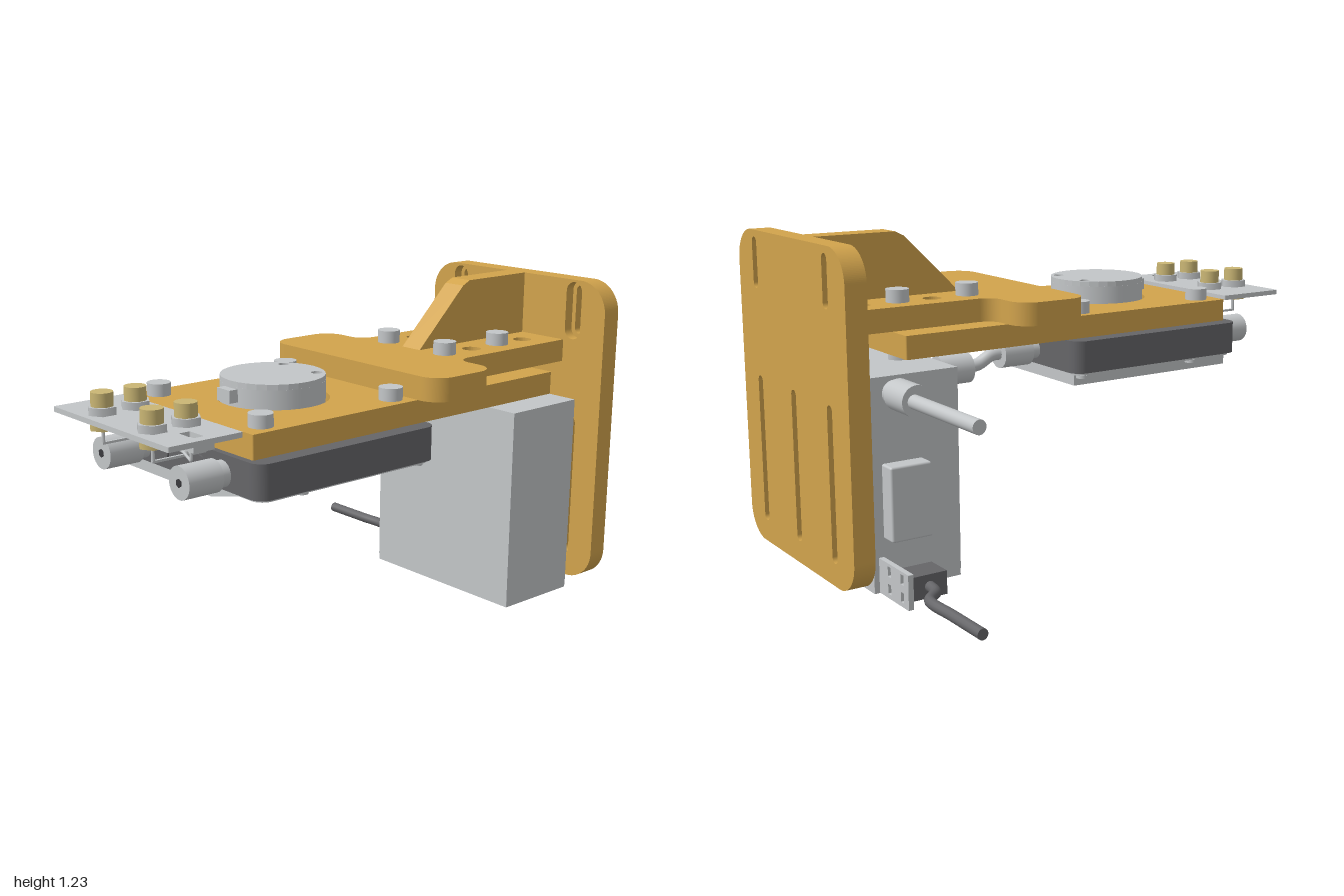
import * as THREE from 'three';
import { RoundedBoxGeometry } from 'three/addons/geometries/RoundedBoxGeometry.js';

const mat = (name, color) => {
  const m = new THREE.MeshStandardMaterial({ color });
  m.name = name;
  return m;
};

export function createModel() {
  const root = new THREE.Group();
  root.name = 'mountedSensorAssembly';
  const gold = mat('gold', 0xd1a34c), grey = mat('grey', 0xc3c6c8), dark = mat('darkGrey', 0x656568);
  const brass = mat('brass', 0xcab674), green = mat('boardGreen', 0x28704a), black = mat('socketBlack', 0x3a3a3d);
  const CX = 0.245;

  const add = (name, geo, m, x = 0, y = 0, z = 0) => {
    const mesh = new THREE.Mesh(geo, m);
    mesh.name = name;
    mesh.position.set(x, y, z);
    root.add(mesh);
    return mesh;
  };
  // box given by its limits on each axis
  const box = (name, m, x0, x1, y0, y1, z0, z1) =>
    add(name, new THREE.BoxGeometry(x1 - x0, y1 - y0, z1 - z0), m, (x0 + x1) / 2, (y0 + y1) / 2, (z0 + z1) / 2);
  // cylinder along one axis, from a to b
  const cyl = (name, m, axis, r, a, b, u, v, sides = 32) => {
    const g = new THREE.CylinderGeometry(r, r, b - a, sides), c = (a + b) / 2;
    if (axis === 'x') { g.rotateZ(Math.PI / 2); return add(name, g, m, c, u, v); }
    if (axis === 'z') { g.rotateX(Math.PI / 2); return add(name, g, m, u, v, c); }
    return add(name, g, m, u, c, v);
  };
  const tube = (name, m, r, pts, tension = 0.5) =>
    add(name, new THREE.TubeGeometry(new THREE.CatmullRomCurve3(
      pts.map(p => new THREE.Vector3(...p)), false, 'catmullrom', tension), 40, r, 12), m);
  const polygon = pts => new THREE.Shape(pts.map(p => new THREE.Vector2(...p)));
  const roundRect = (x0, x1, y0, y1, r, T = THREE.Shape) => {
    const s = new T();
    s.moveTo(x0 + r, y0);
    s.lineTo(x1 - r, y0); s.absarc(x1 - r, y0 + r, r, -Math.PI / 2, 0);
    s.lineTo(x1, y1 - r); s.absarc(x1 - r, y1 - r, r, 0, Math.PI / 2);
    s.lineTo(x0 + r, y1); s.absarc(x0 + r, y1 - r, r, Math.PI / 2, Math.PI);
    s.lineTo(x0, y0 + r); s.absarc(x0 + r, y0 + r, r, Math.PI, Math.PI * 1.5);
    return s;
  };
  const circle = (x, y, r) => new THREE.Path().absarc(x, y, r, 0, Math.PI * 2);
  const extrude = (s, depth) => new THREE.ExtrudeGeometry(s, { depth, bevelEnabled: false, curveSegments: 16 });
  // flat plate: the shape is drawn in (x, -z) and raised from y0 to y1
  const plate = (name, m, s, y0, y1) => add(name, extrude(s, y1 - y0).rotateX(-Math.PI / 2), m, 0, y0, 0);

  // back plate in two layers, with wider slots in the front one
  const slots = [[-0.05, 1.02, 1.215], [0.542, 1.02, 1.215], [-0.05, 0.13, 0.7], [CX, 0.13, 0.7], [0.542, 0.13, 0.7]];
  for (const [name, z, w] of [['backPlateRear', -1, 0.02], ['backPlateFront', -0.96, 0.037]]) {
    const s = roundRect(-0.2, 0.692, 0.05, 1.237, 0.12);
    for (const [x, a, b] of slots) {
      const e = w - 0.024;
      s.holes.push(roundRect(x - w, x + w, a - e, b + e, w * 0.999, THREE.Path));
    }
    add(name, extrude(s, 0.04), gold, 0, 0, z);
  }

  // T-shaped upper arm
  const arm = new THREE.Shape();
  arm.moveTo(-0.01, 0.92);
  arm.lineTo(-0.01, 0.385);
  arm.absarc(-0.07, 0.385, 0.06, 0, -Math.PI / 2, true);
  arm.lineTo(-0.12, 0.325);
  arm.absarc(-0.12, 0.245, 0.08, Math.PI / 2, Math.PI);
  arm.lineTo(-0.2, 0.11);
  arm.absarc(-0.12, 0.11, 0.08, Math.PI, Math.PI * 1.5);
  arm.lineTo(0.612, 0.03);
  arm.absarc(0.612, 0.11, 0.08, -Math.PI / 2, 0);
  arm.lineTo(0.692, 0.245);
  arm.absarc(0.612, 0.245, 0.08, 0, Math.PI / 2);
  arm.lineTo(0.56, 0.325);
  arm.absarc(0.56, 0.385, 0.06, -Math.PI / 2, -Math.PI, true);
  arm.lineTo(0.5, 0.92);
  for (const x of [0.097, 0.395]) for (const v of [0.515, 0.8]) arm.holes.push(circle(x, v, 0.035));
  plate('upperArm', gold, arm, 0.915, 1.0);

  // gusset rib, drawn in (-z, y)
  const rib = polygon([[0.92, 1], [0.92, 1.237], [0.605, 1.237], [0.57, 1.22], [0.345, 1]]);
  add('gussetRib', extrude(rib, 0.092).rotateY(Math.PI / 2), gold, 0.199, 0, 0);

  // lower arm with round opening
  const lower = roundRect(-0.11, 0.602, -0.692, 0.735, 0.005);
  lower.holes.push(circle(CX, -0.32, 0.197));
  plate('lowerArm', gold, lower, 0.831, 0.915);

  // round puck in the opening
  const puck = new THREE.Shape().absarc(CX, -0.323, 0.184, 0, Math.PI * 2);
  for (const x of [0.155, 0.335]) puck.holes.push(circle(x, -0.2, 0.02));
  cyl('puckBase', grey, 'y', 0.184, 0.83, 0.98, CX, 0.323, 48);
  plate('puckTop', grey, puck, 0.98, 1.0);
  box('puckTab', grey, 0.21, 0.28, 0.93, 0.975, 0.49, 0.538);

  // screws
  for (const x of [-0.04, 0.532]) for (const z of [0.033, 0.605]) cyl('lowerArmScrew', grey, 'y', 0.042, 0.915, 0.96, x, z);
  for (const x of [0.097, 0.395]) for (const z of [-0.37, -0.655]) {
    cyl('upperArmScrew', grey, 'y', 0.042, 1.0, 1.047, x, z);
    cyl('upperArmNut', grey, 'y', 0.044, 0.795, 0.831, x, z, 6);
  }

  // dark camera body with a grey rim and lid below
  plate('cameraBody', dark, roundRect(-0.172, 0.662, -0.715, 0.07, 0.05), 0.71, 0.831);
  plate('cameraRim', grey, roundRect(-0.157, 0.647, -0.7, 0.06, 0.045), 0.7, 0.71);
  const lid = polygon([[-0.12, 0.7], [-0.12, 0.657], [0.37, 0.657], [0.55, 0.7]]);
  add('cameraLid', extrude(lid, 0.73), grey, 0, 0, -0.042);
  for (const x of [-0.14, 0.612]) for (const z of [0.5, -0.02]) cyl('lidScrew', grey, 'y', 0.022, 0.688, 0.7, x, z, 20);
  for (const x of [0.14, 0.352]) cyl('cameraPort', dark, 'z', 0.033, 0.7, 0.722, x, 0.768);

  // front connectors
  for (const x of [0.02, 0.472]) {
    cyl('frontConnectorNeck', grey, 'z', 0.045, 0.7, 0.75, x, 0.765);
    cyl('frontConnector', grey, 'z', 0.056, 0.75, 0.885, x, 0.765);
    cyl('connectorSocket', black, 'z', 0.015, 0.88, 0.888, x, 0.765, 6);
  }

  // rear connector with a short cable to the housing
  const RX = 0.1;
  cyl('rearConnectorNeck', grey, 'z', 0.035, -0.11, -0.06, RX, 0.765);
  cyl('rearConnector', grey, 'z', 0.055, -0.235, -0.11, RX, 0.765);
  tube('rearCable', grey, 0.024, [[RX, 0.765, -0.22], [RX, 0.762, -0.27], [RX, 0.735, -0.325], [RX, 0.728, -0.38]]);
  cyl('housingConnector', grey, 'z', 0.056, -0.5, -0.37, RX, 0.728);
  cyl('housingConnectorNeck', grey, 'z', 0.035, -0.54, -0.5, RX, 0.728);

  // front terminal board
  const board = roundRect(-0.09, 0.582, -0.998, -0.715, 0.004);
  board.holes.push(roundRect(0.47, 0.545, -0.88, -0.838, 0.004, THREE.Path));
  plate('terminalBoard', grey, board, 0.907, 0.925);
  for (const x of [0.1, 0.39]) for (const z of [0.795, 0.925]) {
    cyl('terminalNut', grey, 'y', 0.052, 0.925, 0.952, x, z, 6);
    cyl('terminalPost', brass, 'y', 0.038, 0.952, 1.0, x, z);
    cyl('terminalBase', brass, 'y', 0.048, 0.873, 0.907, x, z, 6);
    cyl('terminalPin', grey, 'y', 0.006, 0.823, 0.873, x, z, 8);
  }
  for (const x of [0.1, 0.39]) {
    box('pinLink', grey, x - 0.005, x + 0.005, 0.82, 0.828, 0.72, 0.93);
    tube('signalWire', grey, 0.005, [[x, 0.824, 0.76], [(x + CX) / 2, 0.81, 0.745], [CX, 0.798, 0.73]]);
  }
  const shield = polygon([[0.1, 0.907], [0.1, 0.825], [CX, 0.798], [0.39, 0.825], [0.39, 0.907]]);
  add('boardShield', extrude(shield, 0.006), grey, 0, 0, 0.717);
  box('boardSocket', grey, 0.445, 0.575, 0.886, 0.907, 0.82, 0.9);
  tube('socketWire', grey, 0.005, [[0.505, 0.886, 0.86], [0.505, 0.84, 0.86], [0.38, 0.83, 0.8], [0.26, 0.8, 0.73]], 0.1);

  // electronics housing, open below with a circuit board
  box('housing', grey, -0.11, 0.602, 0.04, 0.785, -0.882, -0.535);
  const rim = roundRect(-0.11, 0.602, 0.535, 0.882, 0.002);
  rim.holes.push(roundRect(-0.098, 0.59, 0.547, 0.87, 0.002, THREE.Path));
  plate('housingRim', grey, rim, 0.016, 0.04);
  box('circuitBoard', green, -0.098, 0.59, 0.03, 0.04, -0.87, -0.547);
  box('boardChip', grey, 0.16, 0.24, 0.022, 0.03, -0.75, -0.67);
  box('boardConnector', grey, -0.08, -0.03, 0.018, 0.03, -0.78, -0.62);
  for (const x of [-0.06, 0.55]) for (const z of [-0.59, -0.83]) cyl('boardScrew', grey, 'y', 0.018, 0.02, 0.032, x, z, 20);
  for (const x of [-0.02, 0.512]) box('housingFoot', grey, x - 0.015, x + 0.015, 0.09, 0.16, -0.9, -0.88);
  add('sideCover', new RoundedBoxGeometry(0.075, 0.27, 0.16, 2, 0.008), grey, -0.1375, 0.345, -0.76);

  // upper side connector and cable
  cyl('sideConnectorNeck', grey, 'x', 0.045, -0.15, -0.1, 0.725, -0.787);
  cyl('sideConnector', grey, 'x', 0.056, -0.275, -0.145, 0.725, -0.787);
  cyl('upperCable', grey, 'x', 0.025, -0.692, -0.27, 0.725, -0.797);

  // lower plug, cable and perforated bracket
  box('plug', dark, -0.22, -0.09, 0.003, 0.09, -0.79, -0.655);
  tube('lowerCable', dark, 0.02, [[-0.69, 0.046, -0.795], [-0.5, 0.046, -0.795], [-0.35, 0.046, -0.795],
    [-0.28, 0.046, -0.735], [-0.2, 0.046, -0.722]]);
  cyl('cableEnd', dark, 'x', 0.02, -0.692, -0.69, 0.046, -0.795);
  const bracket = roundRect(-0.322, -0.1, 0.018, 0.145, 0.003);
  for (const x of [-0.278, -0.185]) for (const y of [0.034, 0.098]) {
    bracket.holes.push(roundRect(x - 0.011, x + 0.011, y, y + 0.036, 0.002, THREE.Path));
  }
  add('plugBracket', extrude(bracket, 0.02), grey, 0, 0, -0.862);

  return root;
}
